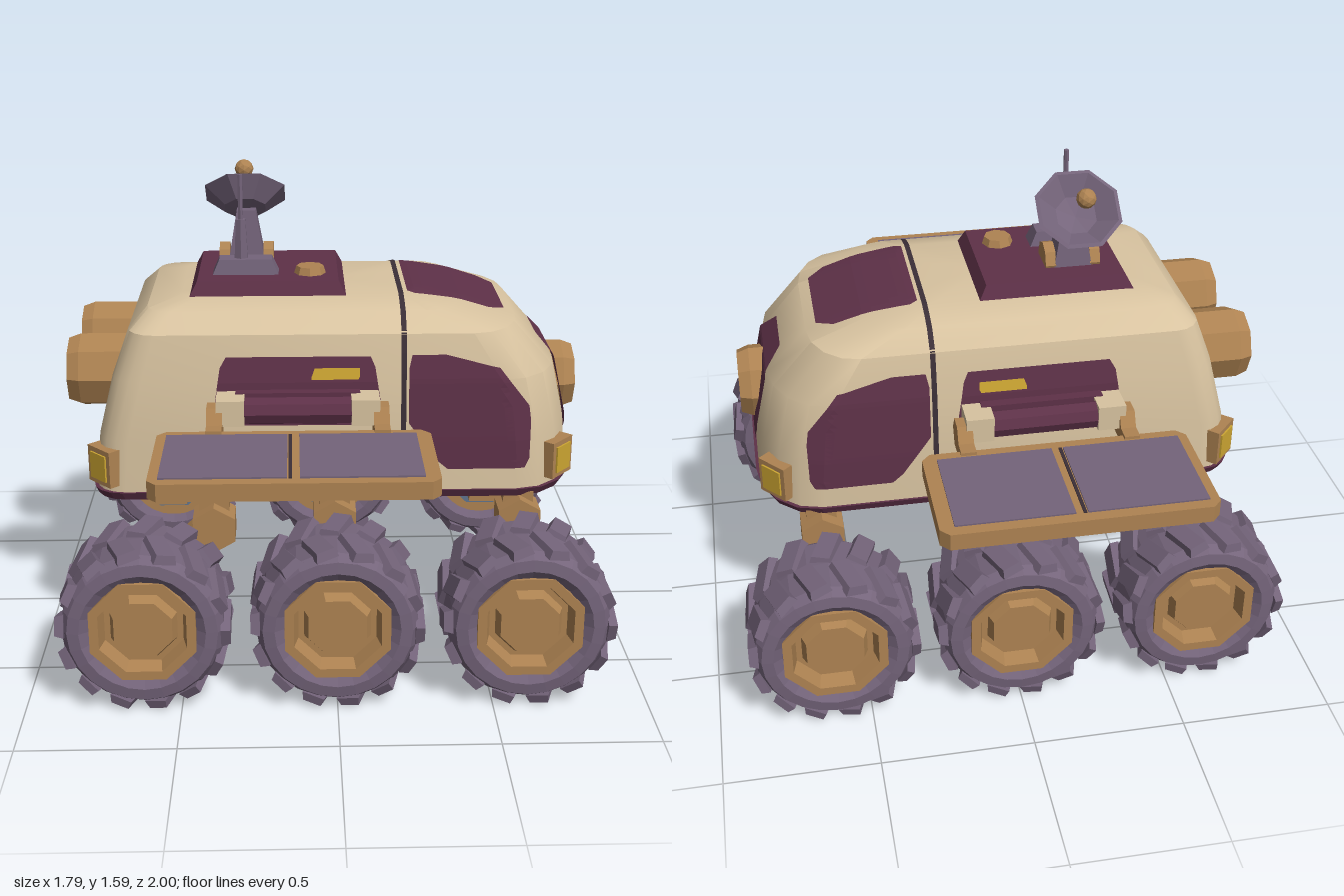
import * as THREE from 'three';
import { toCreasedNormals } from 'three/addons/utils/BufferGeometryUtils.js';

const mat = (name, color, flatShading = false, side = THREE.FrontSide) => {
  const m = new THREE.MeshStandardMaterial({ color, flatShading, side });
  m.name = name;
  return m;
};

export function createModel() {
  const D = THREE.DoubleSide, PI = Math.PI;
  const cream = mat('cream', 0xd8c3a0), purple = mat('plum', 0x5e3148, true, D);
  const grey = mat('greyViolet', 0x74647a, true, D), gold = mat('bronze', 0xae8352, true, D);
  const yellow = mat('yellow', 0xcda632, true, D), cyan = mat('cyan', 0x48d2d2, true, D);
  const blue = mat('slateBlue', 0x5f7490, true, D), dark = mat('seamDark', 0x3b2f37, true, D);
  const root = new THREE.Group();
  root.name = 'rover';

  const add = (name, geo, m, x = 0, y = 0, z = 0, parent = root) => {
    const mesh = new THREE.Mesh(geo, m);
    mesh.name = name;
    mesh.position.set(x, y, z);
    parent.add(mesh);
    return mesh;
  };
  const box = (w, h, d) => new THREE.BoxGeometry(w, h, d);
  const cyl = (r0, r1, h, n = 8) => new THREE.CylinderGeometry(r0, r1, h, n);
  const lathe = (pts, n, phase = 0) =>
    new THREE.LatheGeometry(pts.map(p => new THREE.Vector2(...p)), n, phase);
  const tapered = (w, h, d, kx, kz) => {
    const g = box(w, h, d), p = g.attributes.position;
    for (let i = 0; i < p.count; i++) if (p.getY(i) > 0) {
      p.setX(i, p.getX(i) * kx);
      p.setZ(i, p.getZ(i) * kz);
    }
    g.computeVertexNormals();
    return g;
  };

  // Rounded rectangle rings stacked in y: [y, rear x, front x, half width, rear radius, front radius x, z]
  const loft = rings => {
    const K = 5, n = 4 * K, pos = [], idx = [];
    for (const [y, x0, x1, hz, rr, fx, fz] of rings)
      for (let q = 0; q < 4; q++) for (let k = 0; k < K; k++) {
        const a = (q + k / (K - 1)) * PI / 2, front = q === 0 || q === 3;
        const rx = front ? fx : rr, rz = front ? fz : rr;
        pos.push((front ? x1 - rx : x0 + rx) + rx * Math.cos(a), y,
          (q < 2 ? -1 : 1) * (hz - rz) - rz * Math.sin(a));
      }
    const last = rings.length - 1, c = pos.length / 3;
    pos.push(0, rings[0][0], 0, 0, rings[last][0], 0);
    for (let j = 0; j < n; j++) {
      const k = (j + 1) % n;
      for (let i = 0; i < last; i++) {
        const a = i * n + j, b = i * n + k;
        idx.push(a, b, b + n, a, b + n, a + n);
      }
      idx.push(c, k, j, c + 1, last * n + j, last * n + k);
    }
    const g = new THREE.BufferGeometry();
    g.setAttribute('position', new THREE.Float32BufferAttribute(pos, 3));
    g.setIndex(idx);
    return toCreasedNormals(g, 0.55);
  };

  // Hull and floor skirt
  const body = add('hull', loft([
    [0.60, -0.79, 0.80, 0.43, 0.10, 0.20, 0.27],
    [0.78, -0.775, 0.79, 0.425, 0.10, 0.20, 0.27],
    [0.98, -0.725, 0.745, 0.412, 0.10, 0.20, 0.26],
    [1.13, -0.67, 0.61, 0.385, 0.09, 0.16, 0.22],
    [1.19, -0.61, 0.42, 0.32, 0.08, 0.12, 0.16],
    [1.215, -0.50, 0.28, 0.22, 0.06, 0.08, 0.1],
  ]), cream);
  add('floorSkirt', loft([
    [0.578, -0.79, 0.80, 0.425, 0.10, 0.20, 0.27],
    [0.606, -0.80, 0.81, 0.438, 0.10, 0.20, 0.27],
  ]), purple);

  // Thin plates laid onto the hull; rows are [height (or x on the roof), from, to]
  const ray = new THREE.Raycaster();
  const plate = (name, m, rows, axis, sign, off = 0.008) => {
    const M = 14, N = 8, pos = [], idx = [], dir = new THREE.Vector3();
    dir[axis] = -sign;
    const lines = [];
    rows.forEach((r, i) => {
      if (i) for (let k = 1; k <= N; k++)
        lines.push(r.map((v, c) => THREE.MathUtils.lerp(rows[i - 1][c], v, k / N)));
      else lines.push(r);
    });
    lines.forEach(([t, a, b], i) => {
      for (let j = 0; j <= M; j++) {
        const s = a + (b - a) * j / M;
        const p = axis === 'z' ? new THREE.Vector3(s, t, sign * 3)
          : axis === 'x' ? new THREE.Vector3(sign * 3, t, s) : new THREE.Vector3(t, 3, s);
        ray.set(p, dir);
        const hit = ray.intersectObject(body)[0];
        if (hit) p.copy(hit.point);
        else p[axis] = 0;
        p[axis] += sign * off;
        pos.push(p.x, p.y, p.z);
        const v = i * (M + 1) + j;
        if (i && j) idx.push(v - M - 2, v - M - 1, v, v - M - 2, v, v - 1);
      }
    });
    const g = new THREE.BufferGeometry();
    g.setAttribute('position', new THREE.Float32BufferAttribute(pos, 3));
    g.setIndex(idx);
    g.computeVertexNormals();
    return add(name, g, m);
  };
  plate('windscreen', purple, [[0.245, -0.2, 0.2], [0.27, -0.215, 0.215], [0.52, -0.205, 0.205], [0.575, -0.16, 0.16]], 'y', 1);
  plate('roofSeam', dark, [[0.215, -0.38, 0.38], [0.232, -0.38, 0.38]], 'y', 1, 0.004);
  plate('nosePlate', purple, [[0.68, -0.1, 0.1], [0.76, -0.175, 0.175], [0.965, -0.175, 0.175], [1.045, -0.1, 0.1]], 'x', 1);

  // Lamps: eight-sided housings with a recessed lens
  const lantern = (name, x, y, z, turn, len) => {
    const g = new THREE.Group();
    g.name = name;
    g.position.set(x, y, z);
    g.rotation.z = turn;
    root.add(g);
    add('housing', lathe([[0.125, 0], [0.125, len - 0.04], [0.11, len], [0.092, len]], 8), gold, 0, 0, 0, g);
    add('innerRing', lathe([[0.092, len], [0.086, len - 0.03]], 8), gold, 0, 0, 0, g);
    add('lens', cyl(0.09, 0.09, 0.008), cyan, 0, len - 0.03, 0, g);
  };
  lantern('noseLamp', 0.7, 0.86, 0, -PI / 2, 0.14);
  for (const s of [-1, 1]) lantern('rearLamp', -0.66, 0.955, s * 0.19, PI / 2, 0.22);

  // Roof deck with dish, mast and hatch
  add('roofDeck', tapered(0.53, 0.06, 0.46, 0.88, 0.9), purple, -0.215, 1.23, 0);
  add('roofHatch', cyl(0.045, 0.055, 0.03), gold, -0.075, 1.27, 0.1);
  add('mastBase', tapered(0.22, 0.05, 0.085, 0.8, 0.8), grey, -0.29, 1.285, 0.085);
  add('mastColumn', cyl(0.018, 0.026, 0.14, 6), grey, -0.305, 1.37, 0.082);
  add('mastTip', cyl(0.009, 0.009, 0.18, 6), grey, -0.305, 1.5, 0.082);
  for (const x of [-0.365, -0.215])
    add('dishBracket', cyl(0.06, 0.06, 0.035).rotateZ(PI / 2), gold, x, 1.268, -0.065);
  add('dishPost', tapered(0.13, 0.19, 0.1, 0.5, 0.6), grey, -0.29, 1.345, -0.075);
  const dish = add('dish', lathe([[0, -0.075], [0.075, -0.06], [0.148, 0], [0.135, 0.004], [0.07, -0.045], [0, -0.06]], 8, PI / 8),
    grey, -0.295, 1.48, -0.15);
  dish.rotation.x = -0.69;
  add('dishFeed', new THREE.IcosahedronGeometry(0.033, 1), gold, -0.3, 1.55, -0.225);

  // Solar frame outline with cut corners
  const frame = new THREE.Shape([[-0.40, -0.21], [0.40, -0.21], [0.428, -0.18], [0.428, 0.18],
    [0.40, 0.21], [-0.40, 0.21], [-0.428, 0.18], [-0.428, -0.18]].map(p => new THREE.Vector2(...p)));
  const frameGeo = new THREE.ExtrudeGeometry(frame, { depth: 0.055, bevelEnabled: false }).rotateX(-PI / 2);

  // Wheel, outer face towards +z
  const tyreGeo = toCreasedNormals(lathe([[0.17, -0.13], [0.2, -0.15], [0.238, -0.145], [0.258, -0.115],
    [0.262, 0], [0.258, 0.115], [0.238, 0.145], [0.2, 0.15], [0.17, 0.13], [0.17, -0.13]], 24).rotateX(PI / 2), 0.6);
  const hubGeo = lathe([[0.182, 0.1], [0.182, 0.142], [0.15, 0.142], [0.135, 0.09], [0.115, 0.09],
    [0.1, 0.125], [0, 0.125]], 8, PI / 8).rotateX(PI / 2);
  const lugGeo = tapered(0.075, 0.03, 0.145, 0.8, 0.92);
  const wheel = (x, s) => {
    const w = new THREE.Group();
    w.name = 'wheel';
    w.position.set(x, 0.277, s * 0.638);
    if (s < 0) w.rotation.y = PI;
    root.add(w);
    add('tyre', tyreGeo, grey, 0, 0, 0, w);
    add('hub', hubGeo, gold, 0, 0, 0, w);
    add('backRim', new THREE.RingGeometry(0.145, 0.185, 8, 1, PI / 8), gold, 0, 0, -0.132, w);
    add('backDisc', cyl(0.18, 0.18, 0.01).rotateY(PI / 8).rotateX(PI / 2), blue, 0, 0, -0.1, w);
    add('backHub', cyl(0.075, 0.06, 0.06).rotateX(PI / 2), gold, 0, 0, -0.13, w);
    // Two staggered rows of slanted lugs
    for (let i = 0; i < 28; i++) {
      const side = i % 2 ? 1 : -1, a = i / 28 * 2 * PI;
      const pivot = new THREE.Group();
      pivot.name = 'tread';
      pivot.rotation.z = a;
      w.add(pivot);
      add('lug', lugGeo, grey, 0, 0.261, side * 0.074, pivot).rotation.y = side * 0.35;
    }
  };

  for (const s of [-1, 1]) {
    // Painted side panels
    plate('door', purple, [[0.68, 0.37, 0.625], [0.71, 0.335, 0.64], [0.84, 0.24, 0.642], [0.89, 0.24, 0.635],
      [1.02, 0.24, 0.535], [1.065, 0.25, 0.36]], 'z', s);
    add('doorHandle', cyl(0.02, 0.02, 0.02).rotateX(PI / 2), gold, 0.565, 0.75, s * 0.404);
    plate('lowerPanel', purple, [[0.61, -0.53, 0.165], [0.72, -0.48, 0.06], [0.75, -0.45, 0.02]], 'z', s);
    plate('hingePanel', purple, [[0.84, -0.4, 0.16], [1.03, -0.37, 0.13], [1.065, -0.35, 0.115]], 'z', s, 0.018);
    plate('sideLight', yellow, [[0.993, -0.075, 0.075], [1.003, -0.075, 0.08], [1.03, -0.065, 0.08]], 'z', s, 0.024);
    plate('sideSeam', dark, [[0.607, 0.215, 0.232], [1.135, 0.215, 0.232]], 'z', s, 0.004);

    // Corner lights
    for (const [x, z, yaw] of [[0.738, 0.345, 0.72], [-0.752, 0.388, PI - 0.75]]) {
      const g = new THREE.Group();
      g.name = 'cornerLight';
      g.position.set(x, 0.69, s * z);
      g.rotation.y = -s * yaw;
      root.add(g);
      add('lightFrame', box(0.06, 0.125, 0.115), gold, 0, 0, 0, g);
      add('lightLens', box(0.008, 0.09, 0.08), yellow, 0.032, 0, 0, g);
    }

    // Folding solar panel with hinge
    add('solarFrame', frameGeo, gold, -0.133, 0.82, s * 0.79);
    for (const x of [-0.342, 0.066]) for (const y of [0.876, 0.819])
      add('solarCell', box(0.376 + (x > 0 ? -0.01 : 0), 0.008, 0.345), grey, x, y, s * 0.79);
    add('solarSeam', box(0.01, 0.006, 0.345), dark, -0.145, 0.876, s * 0.79);
    add('hingeBar', cyl(0.045, 0.045, 0.36).rotateZ(PI / 2), purple, -0.12, 0.91, s * 0.49);
    add('hingeBack', box(0.4, 0.08, 0.06), purple, -0.12, 0.92, s * 0.435);
    for (const d of [-1, 1]) {
      add('hingeBlock', box(0.09, 0.085, 0.1), cream, -0.12 + d * 0.215, 0.915, s * 0.485);
      add('hingeKnuckle', cyl(0.055, 0.055, 0.05, 6).rotateZ(PI / 2), gold, -0.12 + d * 0.265, 0.885, s * 0.5);
      add('hingeArm', box(0.05, 0.05, 0.13), gold, -0.12 + d * 0.265, 0.86, s * 0.54);
    }

    // Wheels and suspension legs; the rear leg trails backwards
    for (const [x, top, topY] of [[-0.615, -0.4, 0.49], [0, 0, 0.51], [0.61, 0.61, 0.51]]) {
      wheel(x, s);
      add('axle', cyl(0.04, 0.04, 0.2).rotateX(PI / 2), gold, x, 0.28, s * 0.44);
      add('axleBlock', box(0.13, 0.13, 0.1), gold, x, 0.285, s * 0.39);
      const leg = add('leg', box(0.09, Math.hypot(top - x, topY - 0.28), 0.07), gold, (x + top) / 2, (topY + 0.28) / 2, s * 0.4);
      leg.rotation.z = -Math.atan2(top - x, topY - 0.28);
      add('legPivot', cyl(0.08, 0.08, 0.11, 6).rotateX(PI / 2), gold, top, topY - 0.01, s * 0.41);
      add('legMount', box(0.1, 0.1, 0.07), gold, top, 0.54, s * 0.385);
    }
  }
  return root;
}
